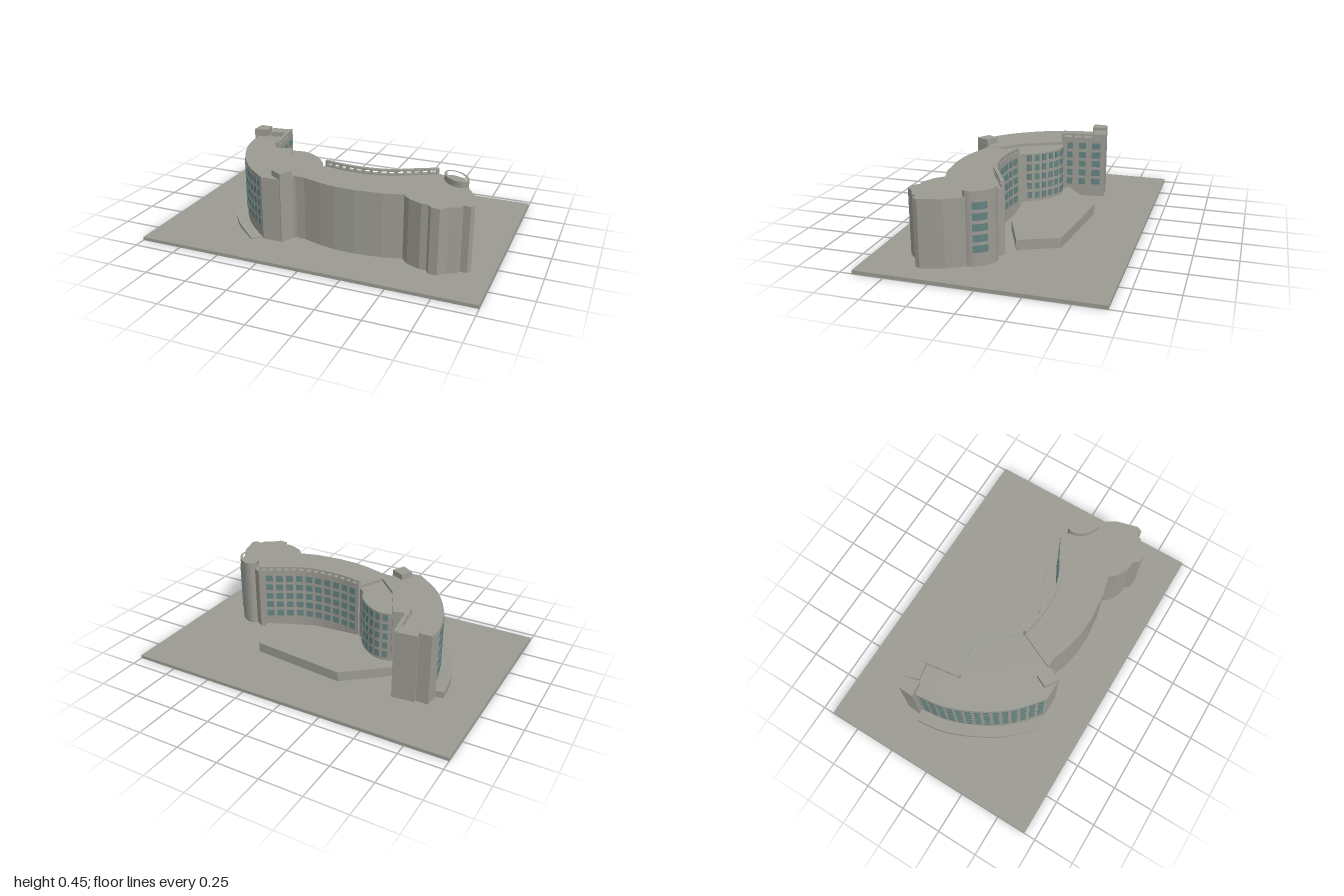
import * as THREE from 'three';

const concrete = new THREE.MeshStandardMaterial({ color: 0x9b9a92 });
concrete.name = 'concrete grey';
const glass = new THREE.MeshStandardMaterial({ color: 0x64827f });
glass.name = 'teal glass';

const GROUND = 0.02, ROOF = 0.405;
const ROWS = [0.12, 0.18, 0.24, 0.30, 0.36];

// Upright prism over a plan outline of [x, z] points
function prism(outline, y0, y1, holes = []) {
  const toV = ([x, z]) => new THREE.Vector2(x, -z);
  const shape = new THREE.Shape(outline.map(toV));
  for (const h of holes) shape.holes.push(new THREE.Path(h.map(toV)));
  const g = new THREE.ExtrudeGeometry(shape, { depth: y1 - y0, bevelEnabled: false });
  return g.rotateX(-Math.PI / 2).translate(0, y0, 0);
}

const planCurve = (pts) => new THREE.CatmullRomCurve3(
  pts.map(([x, z]) => new THREE.Vector3(x, 0, z)), false, 'centripetal');
const sample = (curve, n) => curve.getSpacedPoints(n).map((p) => [p.x, p.z]);

// Plan outline of a strip that follows a curve from t0 to t1
function strip(curve, t0, t1, n, width, shift = 0) {
  const a = [], b = [];
  for (let i = 0; i <= n; i++) {
    const t = t0 + (t1 - t0) * i / n;
    const p = curve.getPointAt(t), d = curve.getTangentAt(t);
    const s = shift + width / 2, r = shift - width / 2;
    a.push([p.x - d.z * s, p.z + d.x * s]);
    b.push([p.x - d.z * r, p.z + d.x * r]);
  }
  return a.concat(b.reverse());
}

function ellipse(cx, cz, a, b, angle, n = 40) {
  return Array.from({ length: n }, (_, i) => {
    const t = i / n * Math.PI * 2, u = a * Math.cos(t), v = b * Math.sin(t);
    return [cx + u * Math.cos(angle) - v * Math.sin(angle), cz + u * Math.sin(angle) + v * Math.cos(angle)];
  });
}

export function createModel() {
  const model = new THREE.Group();
  const add = (name, geometry, material = concrete, parent = model) => {
    const m = new THREE.Mesh(geometry, material);
    m.name = name;
    parent.add(m);
  };

  // Thin glass panes in five storeys along a wall curve; spans are [t0, t1]
  function windows(name, curve, spans) {
    const group = new THREE.Group();
    group.name = name;
    for (const [t0, t1] of spans) {
      const outline = strip(curve, t0, t1, 4, 0.008);
      for (const y of ROWS) add('windowPane', prism(outline, y - 0.02, y + 0.02), glass, group);
    }
    model.add(group);
  }
  const evenSpans = (n, t0, t1, fill) => Array.from({ length: n }, (_, i) => {
    const step = (t1 - t0) / n, c = t0 + step * (i + 0.5);
    return [c - step * fill / 2, c + step * fill / 2];
  });

  // Open roof parapet: kerb, posts and top rail
  function parapet(name, curve, posts, shift) {
    const group = new THREE.Group();
    group.name = name;
    const line = strip(curve, 0, 1, 24, 0.02, shift);
    add('kerb', prism(line, ROOF - 0.005, 0.415), concrete, group);
    add('topRail', prism(line, 0.43, 0.44), concrete, group);
    const len = curve.getLength(), half = 0.008 / len;
    for (let i = 0; i <= posts; i++) {
      const t = half + (1 - 2 * half) * i / posts;
      add('post', prism(strip(curve, t - half, t + half, 1, 0.02, shift), 0.414, 0.431), concrete, group);
    }
    model.add(group);
  }

  // Site slab and low podium in the courtyard
  add('groundSlab', new THREE.BoxGeometry(2, GROUND, 1.36).translate(0, GROUND / 2, 0));
  add('podium', prism([[-0.47, -0.11], [-0.18, -0.35], [0.40, -0.29], [0.50, -0.06],
    [0.22, 0.06], [-0.08, 0.09], [-0.39, -0.07]], GROUND, 0.08));

  // Curved left wing
  const outer = planCurve([[-0.705, -0.22], [-0.68, -0.05], [-0.60, 0.14], [-0.49, 0.295], [-0.34, 0.425]]);
  const inner = planCurve([[-0.475, -0.06], [-0.515, -0.335]]);
  add('leftWing', prism([...sample(outer, 20), [-0.22, 0.425], [-0.15, 0.27], [-0.28, 0.14],
    [-0.34, 0.02], [-0.39, -0.085], [-0.475, -0.06], [-0.515, -0.335], [-0.64, -0.32],
    [-0.645, -0.23]], GROUND, ROOF));
  windows('leftWingOuterWindows', outer, evenSpans(14, 0.02, 0.99, 0.62));
  windows('leftWingInnerWindows', inner, [[0.13, 0.26], [0.41, 0.57], [0.71, 0.91]]);
  parapet('leftWingParapet', inner, 4, -0.01);

  // Towers at the end of the left wing and at the front corner
  add('endTower', prism([[-0.725, -0.31], [-0.65, -0.31], [-0.64, -0.23], [-0.73, -0.22]], GROUND, 0.45));
  add('innerEndTower', prism([[-0.65, -0.325], [-0.515, -0.338], [-0.505, -0.265], [-0.625, -0.245]], GROUND, 0.435));
  add('cornerTower', prism([[-0.295, 0.38], [-0.26, 0.31], [-0.18, 0.35], [-0.22, 0.428]], GROUND, 0.44));

  // Rounded link between the wings, with a slightly lower roof
  const linkWall = planCurve([[-0.39, -0.09], [-0.31, -0.10], [-0.23, -0.065], [-0.15, 0.01], [-0.11, 0.09]]);
  add('link', prism([...sample(linkWall, 14), [-0.07, 0.12], [-0.16, 0.335], [-0.185, 0.34],
    [-0.15, 0.27], [-0.28, 0.14], [-0.34, 0.02]], GROUND, 0.388));
  windows('linkWindows', linkWall, evenSpans(7, 0.04, 0.96, 0.6));

  // Long right wing: concave courtyard wall, bowed front, stepped end
  const court = planCurve([[-0.07, 0.105], [0.05, 0.127], [0.20, 0.13], [0.33, 0.105], [0.45, 0.043], [0.57, -0.02]]);
  add('rightWing', prism([...sample(court, 18), [0.63, 0.02], [0.77, 0.11], [0.84, 0.22], [0.875, 0.35],
    [0.86, 0.38], [0.82, 0.375], [0.81, 0.405], [0.76, 0.43], [0.72, 0.47], [0.67, 0.465], [0.65, 0.435],
    [0.61, 0.435], [0.53, 0.40], [0.49, 0.355], [0.38, 0.385], [0.22, 0.40], [0.10, 0.395], [0, 0.375],
    [-0.11, 0.34], [-0.175, 0.335]], GROUND, ROOF));
  windows('courtyardWindows', court, evenSpans(10, 0.02, 0.95, 0.68));
  parapet('rightWingParapet', court, 14, 0.01);

  // Oval stair tower with a hollow rim
  const angle = Math.PI / 4;
  const oval = ellipse(0.70, 0.07, 0.098, 0.056, angle);
  add('ovalTower', prism(oval, GROUND, 0.41));
  add('ovalTowerRim', prism(oval, 0.41, 0.44, [ellipse(0.70, 0.07, 0.082, 0.04, angle)]));
  const facing = planCurve(oval.slice(26, 40));
  windows('ovalTowerWindows', facing, [[0.26, 0.74]]);

  // Curved ramp sloping down around the left wing
  const rampLine = planCurve([[-0.74, -0.217], [-0.715, -0.05], [-0.64, 0.13], [-0.54, 0.285], [-0.375, 0.435]]);
  const ramp = prism(strip(rampLine, 0, 1, 24, 0.075), GROUND - 0.005, 0.06);
  const pos = ramp.attributes.position;
  for (let i = 0; i < pos.count; i++) {
    if (pos.getY(i) > 0.03) {
      const s = THREE.MathUtils.clamp((pos.getX(i) + 0.775) / 0.435, 0, 1);
      pos.setY(i, 0.061 - 0.038 * s);
    }
  }
  ramp.computeVertexNormals();
  add('ramp', ramp);

  return model;
}
